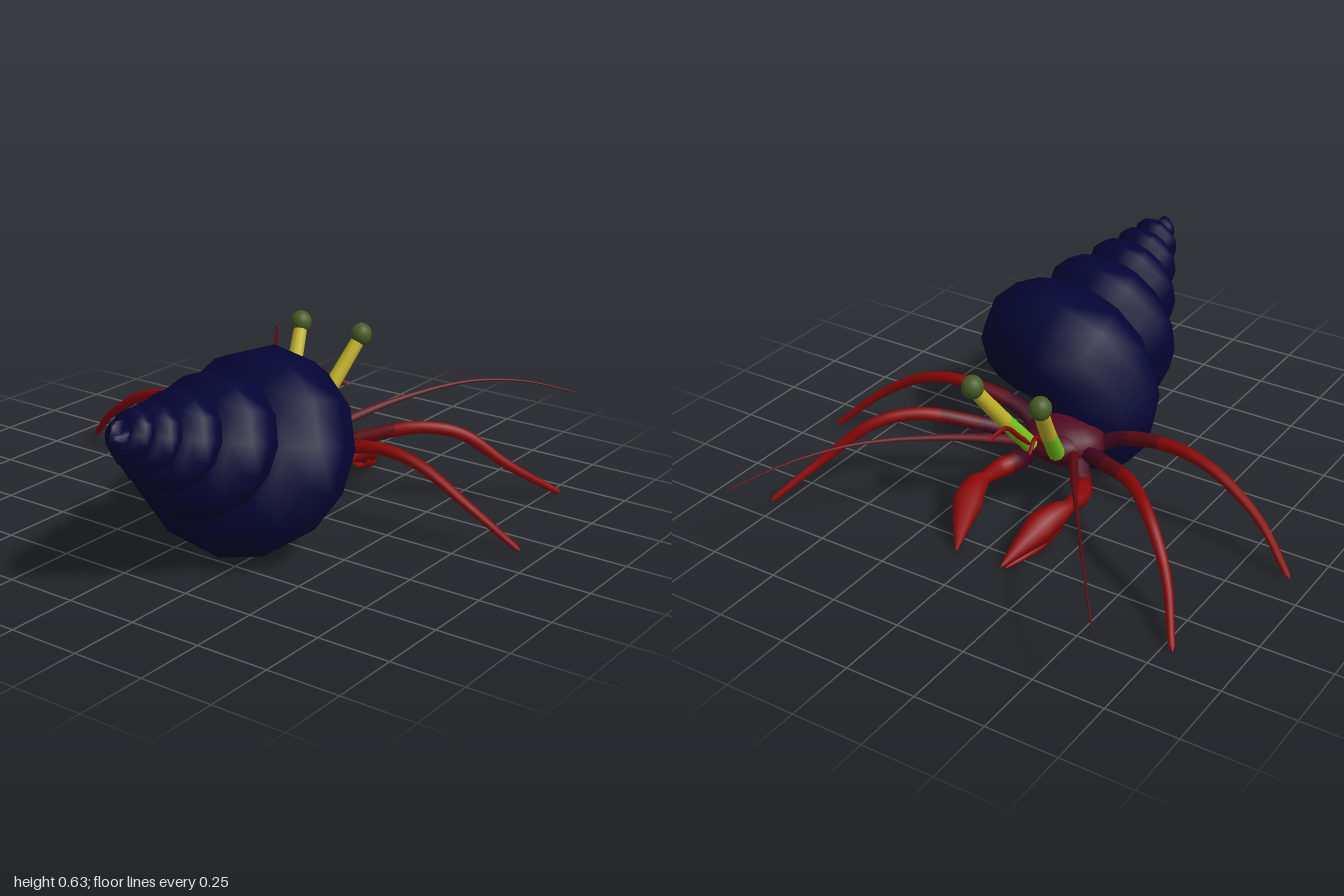
import * as THREE from 'three';

const mat = (name, color) => {
  const m = new THREE.MeshStandardMaterial({ color, side: THREE.DoubleSide });
  m.name = name;
  return m;
};
const V = (x, y, z) => new THREE.Vector3(x, y, z);

// value from a short list, u in 0..1
function sample(list, u) {
  const f = u * (list.length - 1), i = Math.min(Math.floor(f), list.length - 2);
  return THREE.MathUtils.lerp(list[i], list[i + 1], f - i);
}

// tapered tube along part (from..to) of a smooth path, closed at the far end
function limb(name, material, pts, radii, from = 0, to = 1, sides = 8, flat = 1) {
  const whole = new THREE.CatmullRomCurve3(pts);
  const part = [];
  for (let i = 0; i <= 10; i++) part.push(whole.getPointAt(from + (to - from) * i / 10));
  const curve = new THREE.CatmullRomCurve3(part);
  const n = 40;
  const geo = new THREE.TubeGeometry(curve, n, 1, sides);
  const pos = geo.attributes.position, p = V(0, 0, 0);
  for (let v = 0; v < pos.count; v++) {
    const ring = Math.floor(v / (sides + 1));
    const c = curve.getPointAt(ring / n);
    const r = ring === n ? 0.0005 : sample(radii, from + (to - from) * ring / n);
    p.fromBufferAttribute(pos, v).sub(c).multiplyScalar(r);
    p.z *= flat;
    p.add(c);
    pos.setXYZ(v, p.x, p.y, p.z);
  }
  const mesh = new THREE.Mesh(geo, material);
  mesh.name = name;
  return mesh;
}

function ball(name, material, c, rx, ry, rz) {
  const mesh = new THREE.Mesh(new THREE.SphereGeometry(1, 16, 12), material);
  mesh.scale.set(rx, ry, rz);
  mesh.position.copy(c);
  mesh.name = name;
  return mesh;
}

// spiral shell: a growing tube wound around a sloping axis
function shellGeometry() {
  const sides = 12, perTurn = 14, start = -5, end = 0.45;
  const steps = Math.round((end - start) * perTurn);
  const axis = V(0.935, -0.355, 0).normalize();
  const mouth = V(-0.135, 0.185, -0.04);
  const verts = [], index = [];
  let first, last;
  for (let i = 0; i <= steps; i++) {
    const t = start + (end - start) * i / steps, a = t * Math.PI * 2;
    const x = -1.08 + 0.82 * Math.pow(1.45, t);
    const R = 0.167 * Math.pow(1.36, t);
    let r = Math.max(0.046, 0.232 * Math.pow(1.55, Math.min(t, 0)));
    const radial = V(0.43 * Math.cos(a), 0.85 * Math.cos(a), -Math.sin(a));
    const c = V(x, 0.268 - 0.435 * (x + 0.26), 0.16 - 0.03 * (x + 0.26));
    c.addScaledVector(radial, t < -4 ? R * (t - start) : R);
    // the last stretch narrows toward the mouth
    const k = THREE.MathUtils.smoothstep(t, 0.14, 0.42);
    c.lerp(mouth, k);
    r = THREE.MathUtils.lerp(r, 0.168, k);
    const out = radial.clone().addScaledVector(axis, -radial.dot(axis)).normalize();
    for (let j = 0; j < sides; j++) {
      const b = j / sides * Math.PI * 2;
      const p = c.clone().addScaledVector(out, r * Math.cos(b)).addScaledVector(axis, r * Math.sin(b));
      verts.push(p.x, p.y, p.z);
      if (i < steps) {
        const q = i * sides + j, s = i * sides + (j + 1) % sides;
        index.push(q, s, q + sides, s, s + sides, q + sides);
      }
    }
    if (i === 0) first = c;
    last = c;
  }
  // close the tip and the mouth
  const n = verts.length / 3, base = steps * sides;
  verts.push(first.x - 0.015, first.y, first.z + 0.02, last.x, last.y, last.z);
  for (let j = 0; j < sides; j++) {
    const j2 = (j + 1) % sides;
    index.push(n, j2, j, n + 1, base + j, base + j2);
  }
  const geo = new THREE.BufferGeometry();
  geo.setAttribute('position', new THREE.Float32BufferAttribute(verts, 3));
  geo.setIndex(index);
  geo.computeVertexNormals();
  return geo;
}

export function createModel() {
  const navy = mat('shell navy', 0x040434);
  const maroon = mat('body maroon', 0x500820);
  const plum = mat('joint plum', 0x440620);
  const red = mat('limb red', 0x8a0606);
  const dark = mat('feeler dark red', 0x600812);
  const yellow = mat('stalk yellow', 0xc4b42a);
  const green = mat('stalk green', 0x76c41c);
  const olive = mat('eye olive', 0x465c24);

  const model = new THREE.Group();
  model.name = 'hermitCrab';

  const shell = new THREE.Mesh(shellGeometry(), navy);
  shell.name = 'shell';
  model.add(shell);

  // body and head
  model.add(ball('body', maroon, V(0.045, 0.205, -0.015), 0.125, 0.088, 0.15));
  model.add(ball('head', maroon, V(0.115, 0.215, -0.015), 0.08, 0.056, 0.11));

  for (const s of [1, -1]) {
    const side = s > 0 ? 'left' : 'right';
    const shift = s > 0 ? 0 : -0.035;
    const path = (list, dz = 0) => list.map(([x, y, z]) => V(x, y, z * s + dz));
    // limb darkening toward the body in two steps
    const jointed = (name, pts, radii, cut1, cut2) => {
      model.add(limb(name + 'Base', plum, pts, radii, 0, cut1));
      model.add(limb(name + 'Joint', dark, pts, radii, cut1 - 0.02, cut2));
      model.add(limb(name, red, pts, radii, cut2 - 0.02, 1));
    };

    // walking legs
    jointed(side + 'RearLeg', path([[0.02, 0.17, 0.09], [0, 0.235, 0.2], [0.03, 0.29, 0.42],
      [0.045, 0.265, 0.58], [0.07, 0.15, 0.77], [0.14, 0.01, 0.925]]), [0.03, 0.027, 0.022, 0.019, 0.015, 0.011], 0.2, 0.33);
    jointed(side + 'FrontLeg', path([[0.07, 0.19, 0.1], [0.17, 0.24, 0.25], [0.29, 0.285, 0.42],
      [0.39, 0.26, 0.54], [0.5, 0.14, 0.67], [0.67, 0.01, 0.79]]), [0.028, 0.027, 0.023, 0.021, 0.016, 0.011], 0.2, 0.33);

    // claw arm, hand and two fingers
    jointed(side + 'ClawArm', path([[0.1, 0.19, 0.06], [0.15, 0.13, 0.11], [0.21, 0.115, 0.145],
      [0.3, 0.12, 0.15]], shift), [0.033, 0.036, 0.034, 0.024], 0.35, 0.5);
    model.add(limb(side + 'Claw', red, path([[0.26, 0.11, 0.15], [0.32, 0.12, 0.15], [0.4, 0.115, 0.135],
      [0.48, 0.08, 0.11], [0.585, 0.015, 0.07]], shift), [0.012, 0.045, 0.06, 0.034, 0.004], 0, 1, 8, 0.85));
    model.add(limb(side + 'ClawFinger', red, path([[0.37, 0.08, 0.14], [0.45, 0.045, 0.125],
      [0.52, 0.02, 0.1], [0.57, 0.008, 0.08]], shift), [0.03, 0.026, 0.014, 0.003]));

    // eye stalk and eye
    const stalk = path([[0.19, 0.235, 0.035], [0.3, 0.38, 0.072], [0.405, 0.53, 0.112]], shift);
    model.add(limb(side + 'EyeStalkBase', green, stalk, [0.029, 0.027, 0.024], 0, 0.47, 10));
    model.add(limb(side + 'EyeStalk', yellow, stalk, [0.029, 0.027, 0.024], 0.44, 1, 10));
    model.add(ball(side + 'Eye', olive, V(0.405, 0.535, 0.113 * s + shift), 0.038, 0.041, 0.038));

    // long and short feelers
    model.add(limb(side + 'Antenna', dark, path([[0.14, 0.21, 0.07], [0.24, 0.25, 0.135], [0.4, 0.305, 0.235],
      [0.65, 0.352, 0.405], [0.84, 0.33, 0.545], [0.998, 0.268, 0.67]], shift), [0.022, 0.016, 0.009, 0.006, 0.004, 0.003], 0, 1, 6));
    model.add(limb(side + 'Antennule', red, path([[0.19, 0.23, 0.02], [0.26, 0.3, 0.03],
      [0.33, 0.365, 0.042], [0.395, 0.34, 0.062]], shift), [0.011, 0.009, 0.008, 0.006], 0, 1, 6));
  }
  return model;
}
